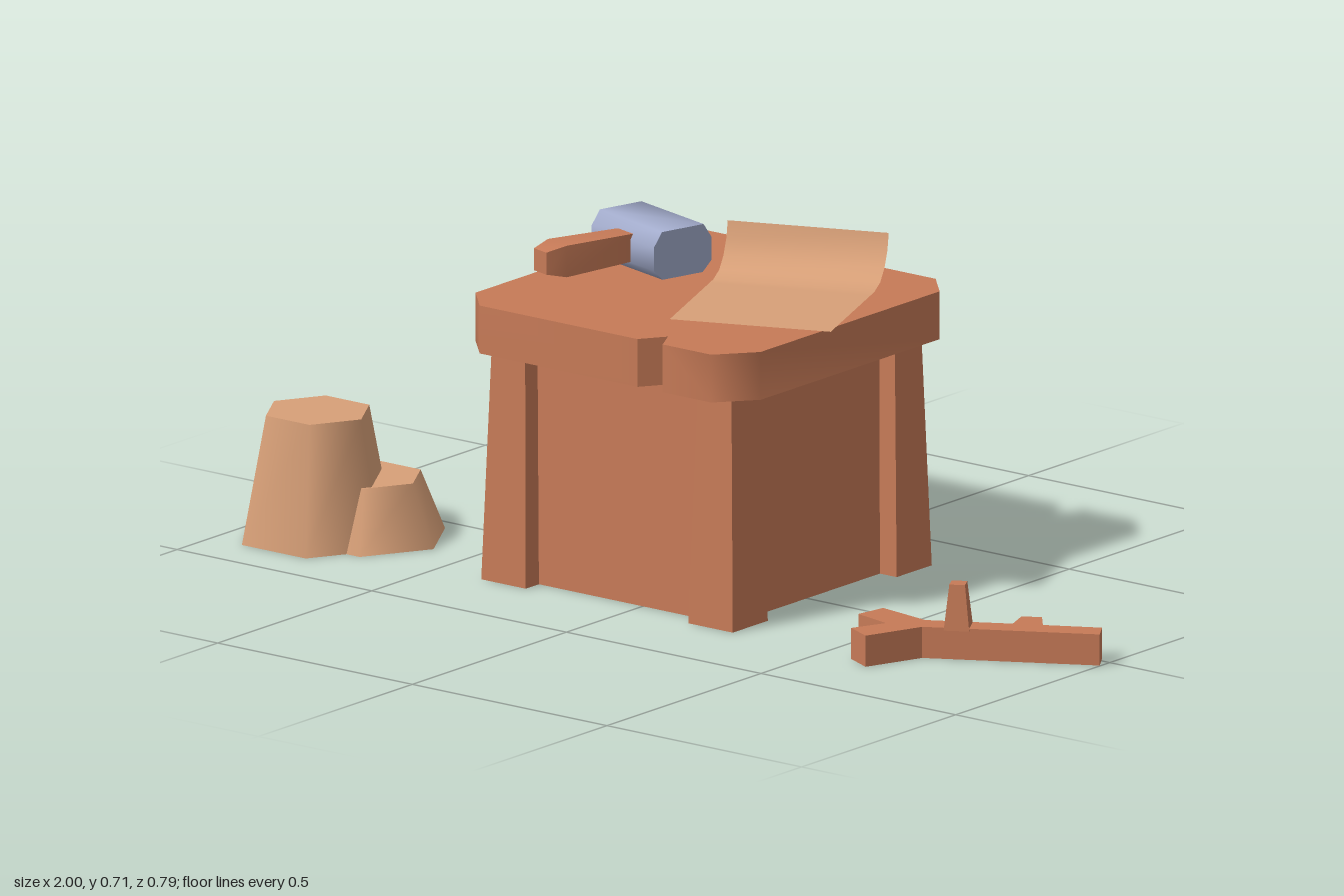
import * as THREE from 'three';
import { toCreasedNormals } from 'three/addons/utils/BufferGeometryUtils.js';

const material = (name, color) => {
  const m = new THREE.MeshStandardMaterial({ color });
  m.name = name;
  return m;
};

// Flat outline of [x, z] points raised by a height
function slab(points, height) {
  const shape = new THREE.Shape(points.map(([x, z]) => new THREE.Vector2(x, -z)));
  const g = new THREE.ExtrudeGeometry(shape, { depth: height, bevelEnabled: false });
  g.rotateX(-Math.PI / 2);
  return g;
}

// Box whose bottom and top rectangles [x0, x1, z0, z1] differ
function taperedBox(bottom, top, y0, y1) {
  const g = new THREE.BoxGeometry(1, 1, 1);
  const p = g.attributes.position;
  for (let i = 0; i < p.count; i++) {
    const r = p.getY(i) > 0 ? top : bottom;
    p.setXYZ(i, p.getX(i) > 0 ? r[1] : r[0], p.getY(i) > 0 ? y1 : y0, p.getZ(i) > 0 ? r[3] : r[2]);
  }
  g.computeVertexNormals();
  return g;
}

export function createModel() {
  const model = new THREE.Group();
  model.name = 'workbenchSet';
  const wood = material('wood', 0xc67a57);
  const tan = material('tan', 0xd8a078);
  const metal = material('metal', 0xa2abcb);

  const add = (name, geometry, mat, parent = model) => {
    const mesh = new THREE.Mesh(geometry, mat);
    mesh.name = name;
    parent.add(mesh);
    return mesh;
  };

  // Table: notched top, recessed body and four splayed corner posts
  const top = slab([
    [-0.355, -0.395], [0.045, -0.395], [0.078, -0.345], [0.11, -0.395], [0.24, -0.395],
    [0.305, -0.326], [0.305, 0.255], [0.24, 0.333], [0.115, 0.333], [0.087, 0.28],
    [0.05, 0.333], [-0.355, 0.333], [-0.422, 0.262], [-0.422, -0.155], [-0.377, -0.187],
    [-0.422, -0.214], [-0.422, -0.33],
  ], 0.1);
  add('tableTop', toCreasedNormals(top, 0.9), wood).position.y = 0.485;

  const table = new THREE.Group();
  table.name = 'tableBase';
  table.position.set(-0.058, 0, -0.028);
  model.add(table);
  add('tableBody', taperedBox([-0.28, 0.28, -0.28, 0.28], [-0.268, 0.268, -0.268, 0.268], 0, 0.486), wood, table);
  for (const sx of [-1, 1]) for (const sz of [-1, 1]) {
    const rect = (inner, outer) => [
      ...(sx > 0 ? [inner, outer] : [-outer, -inner]),
      ...(sz > 0 ? [inner, outer] : [-outer, -inner]),
    ];
    add('cornerPost', taperedBox(rect(0.209, 0.323), rect(0.222, 0.308), 0, 0.486), wood, table);
  }

  // Two tapered six-sided stumps
  for (const [name, x, z, r0, r1, h] of [
    ['tallStump', -0.837, 0.25, 0.164, 0.112, 0.265],
    ['shortStump', -0.757, 0.177, 0.16, 0.107, 0.128],
  ]) {
    const g = new THREE.CylinderGeometry(r1, r0, h, 6);
    g.rotateY(Math.PI / 6);
    add(name, g, tan).position.set(x, h / 2, z);
  }

  // Forked branch on the ground with an upright twig
  add('forkedBranch', slab([
    [0.97, -0.013], [0.998, 0.03], [0.682, 0.207], [0.634, 0.33], [0.575, 0.302], [0.607, 0.23],
    [0.521, 0.211], [0.532, 0.144], [0.655, 0.163], [0.81, 0.075], [0.79, 0.021],
    [0.826, 0.0], [0.864, 0.045],
  ], 0.065), wood);
  const twig = add('uprightTwig',
    taperedBox([-0.026, 0.026, -0.026, 0.026], [-0.016, 0.016, -0.016, 0.016], 0.06, 0.154), wood);
  twig.position.set(0.732, 0, 0.153);
  twig.rotation.y = Math.PI / 6;

  // Hammer lying on the table
  const hammer = new THREE.Group();
  hammer.name = 'hammer';
  hammer.position.set(-0.275, 0.585, -0.124);
  hammer.rotation.y = -0.27;
  model.add(hammer);
  const section = new THREE.Shape([
    [-0.05, 0], [0.05, 0], [0.072, 0.022], [0.072, 0.07], [0.052, 0.1],
    [-0.052, 0.1], [-0.072, 0.07], [-0.072, 0.022],
  ].map(([x, y]) => new THREE.Vector2(x, y)));
  const head = new THREE.ExtrudeGeometry(section, { depth: 0.212, bevelEnabled: false });
  head.translate(0, 0, -0.106);
  head.rotateY(Math.PI / 2);
  add('hammerHead', toCreasedNormals(head, 1.0), metal, hammer);

  // Handle stations: [z, width, height]
  const stations = [[-0.1, 0.042, 0.036], [0.07, 0.052, 0.058], [0.235, 0.064, 0.066], [0.278, 0.042, 0.046]];
  const handle = new THREE.BoxGeometry(1, 1, 1, 1, 1, 3);
  const hp = handle.attributes.position;
  for (let i = 0; i < hp.count; i++) {
    const [z, w, h] = stations[Math.round((hp.getZ(i) + 0.5) * 3)];
    hp.setXYZ(i, hp.getX(i) * w, 0.052 + hp.getY(i) * h, z);
  }
  add('hammerHandle', toCreasedNormals(handle, 0.3), wood, hammer);

  // Sheet with its back edge curling upward
  const curl = [[-0.2075, 0.096], [-0.198, 0.062], [-0.177, 0.031], [-0.147, 0.009], [-0.105, 0], [-0.08, 0], [0.2075, 0]];
  const sheetGeometry = new THREE.PlaneGeometry(0.338, 1, 1, curl.length - 1);
  const sp = sheetGeometry.attributes.position;
  for (let i = 0; i < sp.count; i++) {
    const [z, y] = curl[Math.floor(i / 2)];
    sp.setXYZ(i, sp.getX(i), y, z);
  }
  sheetGeometry.computeVertexNormals();
  const sheetMaterial = tan;
  sheetMaterial.side = THREE.DoubleSide;
  const sheet = add('curledSheet', sheetGeometry, sheetMaterial);
  sheet.position.set(0.143, 0.61, -0.01);
  sheet.rotation.y = 0.384;

  return model;
}
